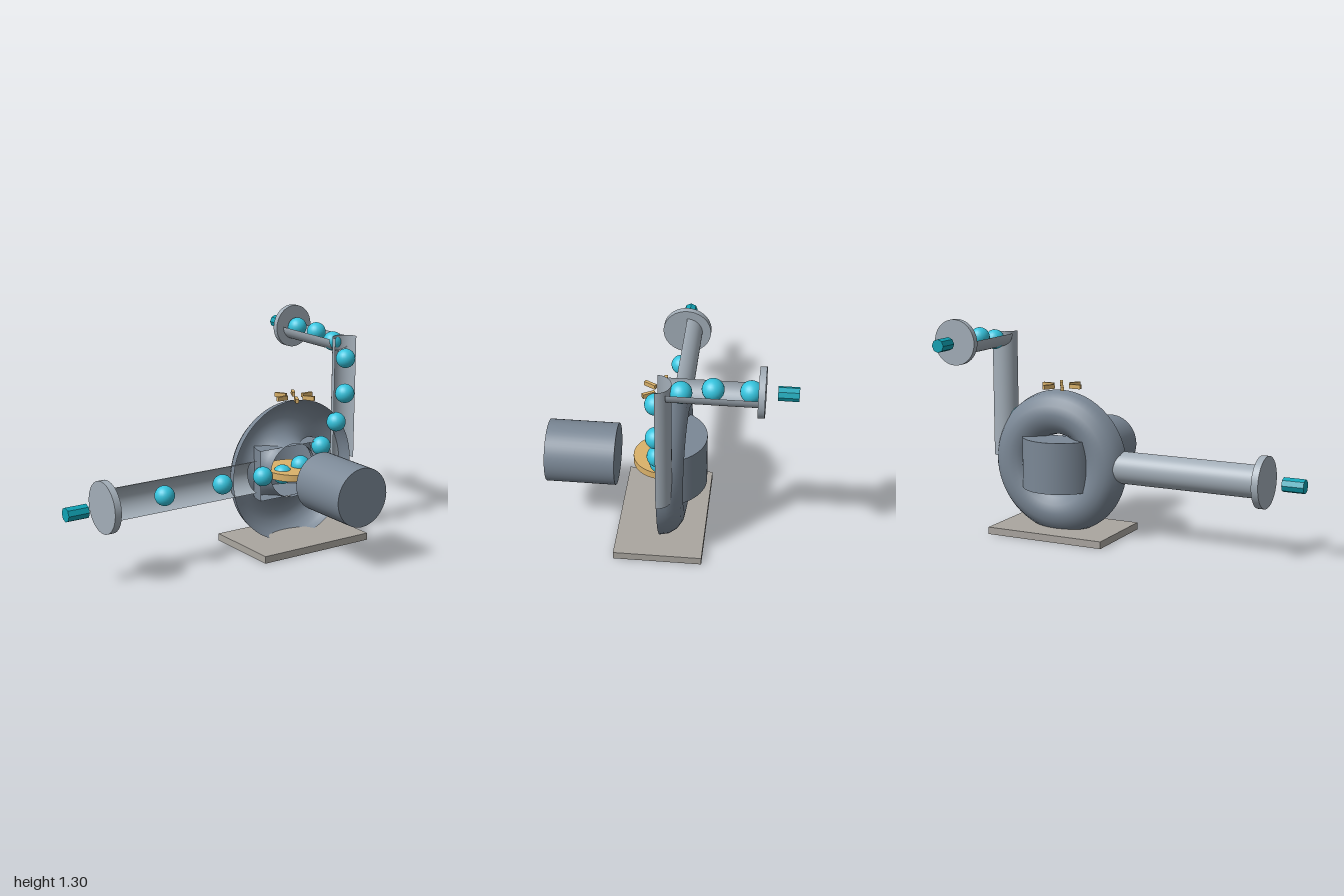
import * as THREE from 'three';

const mat = (color) => new THREE.MeshStandardMaterial({ color, side: THREE.DoubleSide });

export function createModel() {
  const model = new THREE.Group();
  const casingMat = mat(0x7b8896), pipeMat = mat(0xa3aeb8), baseMat = mat(0xaaa6a0);
  const fluidMat = mat(0x35c4de), arrowMat = mat(0x0fa3b5), goldMat = mat(0xdbb26a);
  arrowMat.flatShading = true;
  const CUT = 0.035; // plane of the cutaway
  const CX = 0.5, CY = 0.43; // pump axis
  const RISER = 0.87; // x of the outlet pipe
  const TOP = 1.17; // height of the rear pipe axis

  const add = (name, geometry, material, x, y, z, parent = model) => {
    const mesh = new THREE.Mesh(geometry, material);
    mesh.name = name;
    mesh.position.set(x, y, z);
    parent.add(mesh);
    return mesh;
  };
  const group = (name) => {
    const g = new THREE.Group();
    g.name = name;
    model.add(g);
    return g;
  };
  // Half cylinder on the y axis, keeping the -z side
  const half = (r, h, open = true) =>
    new THREE.CylinderGeometry(r, r, h, 32, 1, open, Math.PI / 2, Math.PI);
  const disc = (r, h, sides = 48) => new THREE.CylinderGeometry(r, r, h, sides);

  // Base plate
  add('basePlate', new THREE.BoxGeometry(0.74, 0.042, 0.48), baseMat, CX, 0.021, 0.04);

  // Ring casing, open at the front
  const profile = [];
  for (let i = 0; i <= 8; i++) {
    const a = (i / 8) * Math.PI;
    profile.push(new THREE.Vector2(0.292 + 0.13 * Math.cos(a), 0.128 * Math.sin(a)));
  }
  add('ringCasing', new THREE.LatheGeometry(profile, 64).rotateX(-Math.PI / 2), casingMat, CX, CY, CUT);

  // Rotor chamber behind the ring, rotor disc and motor
  add('rotorChamber', half(0.232, 0.3, false), casingMat, CX, CY, CUT);
  add('rotorDisc', disc(0.17, 0.04), goldMat, CX, CY, CUT);
  add('motor', disc(0.17, 0.38).rotateX(Math.PI / 2), casingMat, CX, CY, 0.483);

  // Inlet pipe with flange and flow marker
  add('inletPipe', half(0.094, 0.98).rotateZ(Math.PI / 2), pipeMat, -0.25, CY, CUT);
  add('inletFlange', disc(0.147, 0.04).rotateZ(Math.PI / 2), pipeMat, -0.76, CY, CUT);
  add('inletMarker', disc(0.041, 0.125, 8).rotateZ(Math.PI / 2), arrowMat, -0.9375, CY, CUT);

  // Outlet riser, rear pipe with flange and flow marker
  add('outletRiser', half(0.078, 0.742), pipeMat, RISER, 0.811, CUT);
  add('rearPipe', half(0.078, 0.46).rotateX(-Math.PI / 2), pipeMat, RISER, TOP, -0.25);
  add('rearFlange', disc(0.128, 0.034).rotateX(Math.PI / 2), pipeMat, RISER, TOP, -0.494);
  add('rearMarker', disc(0.037, 0.106, 8).rotateX(Math.PI / 2), arrowMat, RISER, TOP, -0.623);

  // Fluid balls along the flow path
  const balls = group('fluidBalls');
  const ball = new THREE.SphereGeometry(0.057, 24, 16);
  [
    [-0.385, CY, 0.037], [0, CY, 0.037], [0.28, CY, 0.037], [0.42, 0.42, 0.037],
    [0.55, 0.455, 0.037], [0.7, 0.55, 0.037], [0.81, 0.68, 0.037], [RISER, 0.845, 0.037],
    [RISER, 1.057, 0.037], [RISER, 1.14, -0.09], [RISER, TOP, -0.25], [RISER, TOP, -0.44],
  ].forEach(([x, y, z]) => add('fluidBall', ball, fluidMat, x, y, z, balls));

  // Rosette of small bars above the ring
  const rosette = group('rosette');
  for (let i = 0; i < 6; i++) {
    const a = (i * Math.PI) / 3;
    const bar = add('rosetteBar', new THREE.BoxGeometry(0.07, 0.025, 0.018), goldMat,
      CX + 0.088 * Math.cos(a), 0.876, 0.038 + 0.088 * Math.sin(a), rosette);
    bar.rotation.y = -a;
  }
  return model;
}
